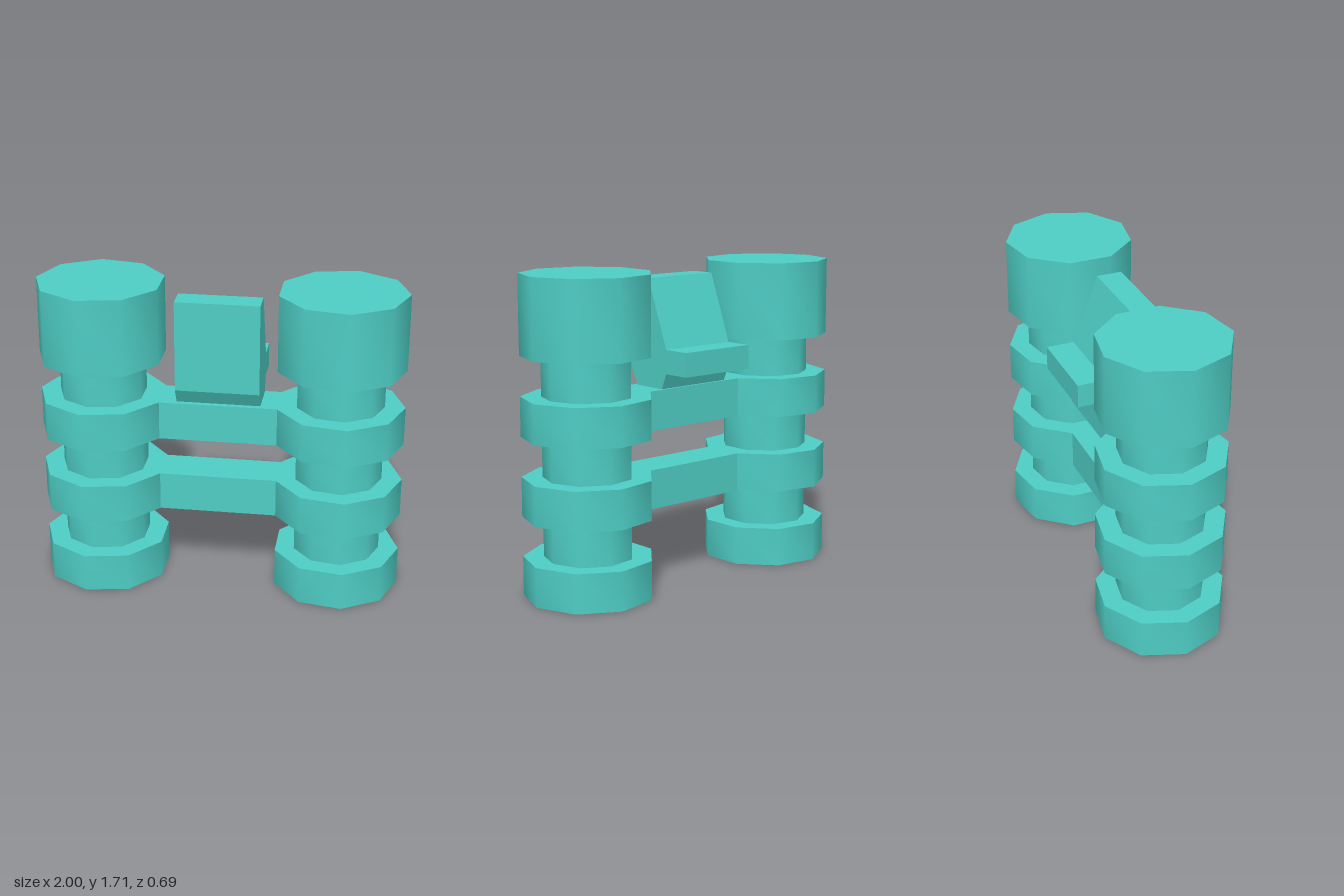
import * as THREE from 'three';
import { toCreasedNormals } from 'three/addons/utils/BufferGeometryUtils.js';

const SIDES = 9;
const WIDE = 0.35, NARROW = 0.24, CENTRE = 0.65;
// heights where the columns step between wide and narrow
const STEPS = [0, 0.213, 0.43, 0.643, 0.857, 1.07, 1.285, 1.71];

export function createModel() {
  const model = new THREE.Group();
  model.name = 'model';
  const material = new THREE.MeshStandardMaterial({ color: 0x4ecdc4, side: THREE.DoubleSide });

  const add = (name, geometry, x = 0, y = 0, z = 0) => {
    const mesh = new THREE.Mesh(geometry, material);
    mesh.name = name;
    mesh.position.set(x, y, z);
    model.add(mesh);
  };

  // stepped nine-sided columns, hollow and open underneath
  const profile = [];
  for (let i = 0; i < STEPS.length - 1; i++) {
    const r = i % 2 ? NARROW : WIDE;
    profile.push(new THREE.Vector2(r, STEPS[i]), new THREE.Vector2(r, STEPS[i + 1]));
  }
  profile.push(new THREE.Vector2(0, STEPS[STEPS.length - 1]));
  for (const side of [1, -1]) {
    const column = new THREE.LatheGeometry(profile, SIDES, side * Math.PI / 2);
    add(side > 0 ? 'leftColumn' : 'rightColumn', toCreasedNormals(column, 0.8), side * CENTRE);
  }

  // bars joining the facing sides of the two middle rings
  const inner = CENTRE - WIDE * Math.cos(Math.PI / SIDES);
  const depth = 2 * WIDE * Math.sin(Math.PI / SIDES);
  for (const [name, i] of [['lowerBar', 2], ['upperBar', 4]]) {
    const height = STEPS[i + 1] - STEPS[i];
    add(name, new THREE.BoxGeometry(2 * inner, height, depth), 0, STEPS[i] + height / 2);
  }

  // upright block with sloping back, rear ledge and tapered foot; (z, y) outline
  const outline = [
    [0.09, 1.07], [0.14, 1.155], [0.14, 1.655], [0, 1.655],
    [-0.14, 1.285], [-0.295, 1.285], [-0.295, 1.155], [-0.14, 1.155], [-0.105, 1.07],
  ].map(([z, y]) => new THREE.Vector2(-z, y));
  const width = 0.456;
  const block = new THREE.ExtrudeGeometry(new THREE.Shape(outline), { depth: width, bevelEnabled: false });
  block.translate(0, 0, -width / 2).rotateY(Math.PI / 2);
  add('uprightBlock', block);

  return model;
}
